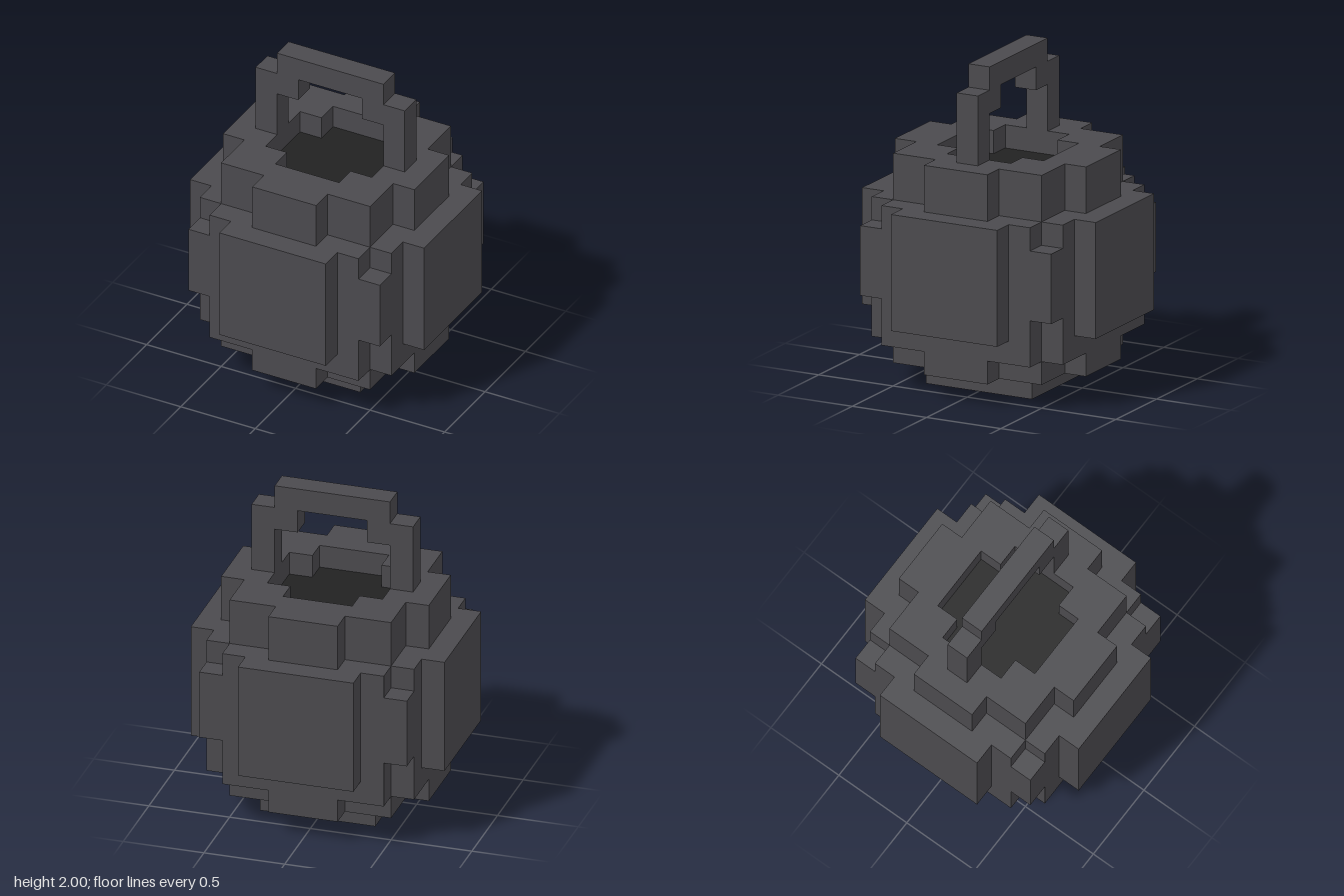
import * as THREE from 'three';

const U = 1 / 7; // size of one block

const iron = new THREE.MeshStandardMaterial({ color: 0x4b4a4e });
iron.name = 'dark iron';
const brew = new THREE.MeshStandardMaterial({ color: 0x222222 });
brew.name = 'dark filling';

// Square of half-size "long" with each corner stepped in; the steps are mirrored quarter points.
function outline(quarter, Type = THREE.Shape) {
  const q = quarter;
  const r = [...quarter].reverse();
  const pts = [
    ...q.map(([x, y]) => [x, y]),
    ...r.map(([x, y]) => [-x, y]),
    ...q.map(([x, y]) => [-x, -y]),
    ...r.map(([x, y]) => [x, -y]),
  ];
  return new Type(pts.map(([x, y]) => new THREE.Vector2(x * U, y * U)));
}

const SQUARE_SMALL = [[2.5, 2.5]];
const SQUARE_LARGE = [[4.5, 4.5]];
const NOTCHED = [[4.5, 3.5], [3.5, 3.5], [3.5, 4.5]];
const STEPPED = [[4.5, 1.5], [3.5, 1.5], [3.5, 3.5], [1.5, 3.5], [1.5, 4.5]];
const MOUTH = [[2.5, 1.5], [1.5, 1.5], [1.5, 2.5]];

export function createModel() {
  const model = new THREE.Group();
  model.name = 'cauldron';

  const add = (name, geometry, material, parent = model) => {
    const mesh = new THREE.Mesh(geometry, material);
    mesh.name = name;
    parent.add(mesh);
    return mesh;
  };

  // Horizontal slab between two heights
  const layer = (name, quarter, y0, y1, material = iron, hole = null) => {
    const shape = outline(quarter);
    if (hole) shape.holes.push(outline(hole, THREE.Path));
    const geo = new THREE.ExtrudeGeometry(shape, { depth: (y1 - y0) * U, bevelEnabled: false });
    geo.rotateX(-Math.PI / 2);
    geo.translate(0, y0 * U, 0);
    add(name, geo, material);
  };

  // Pot, from foot to rim
  layer('foot', SQUARE_SMALL, 0, 1);
  layer('lowerBelly', STEPPED, 1, 2);
  layer('bellyBottom', NOTCHED, 2, 4);
  layer('bellyMiddle', SQUARE_LARGE, 4, 7);
  layer('bellyTop', NOTCHED, 7, 8);
  layer('rim', STEPPED, 8, 10, iron, MOUTH);
  layer('filling', MOUTH, 8, 9, brew);

  // Raised panel on each of the four sides
  const panels = new THREE.Group();
  panels.name = 'sidePanels';
  model.add(panels);
  ['front', 'left', 'back', 'right'].forEach((side, i) => {
    const geo = new THREE.BoxGeometry(5 * U, 5 * U, U);
    geo.translate(0, 5.5 * U, 5 * U);
    geo.rotateY((i * Math.PI) / 2);
    add(side + 'Panel', geo, iron, panels);
  });

  // Stepped arch handle
  const arch = [
    [3.5, 10], [3.5, 13], [2.5, 13], [2.5, 14], [-2.5, 14], [-2.5, 13], [-3.5, 13], [-3.5, 10],
    [-2.5, 10], [-2.5, 12], [-1.5, 12], [-1.5, 13], [1.5, 13], [1.5, 12], [2.5, 12], [2.5, 10],
  ];
  const handle = new THREE.ExtrudeGeometry(
    new THREE.Shape(arch.map(([x, y]) => new THREE.Vector2(x * U, y * U))),
    { depth: U, bevelEnabled: false },
  );
  handle.translate(0, 0, -U / 2);
  add('handle', handle, iron);

  return model;
}
